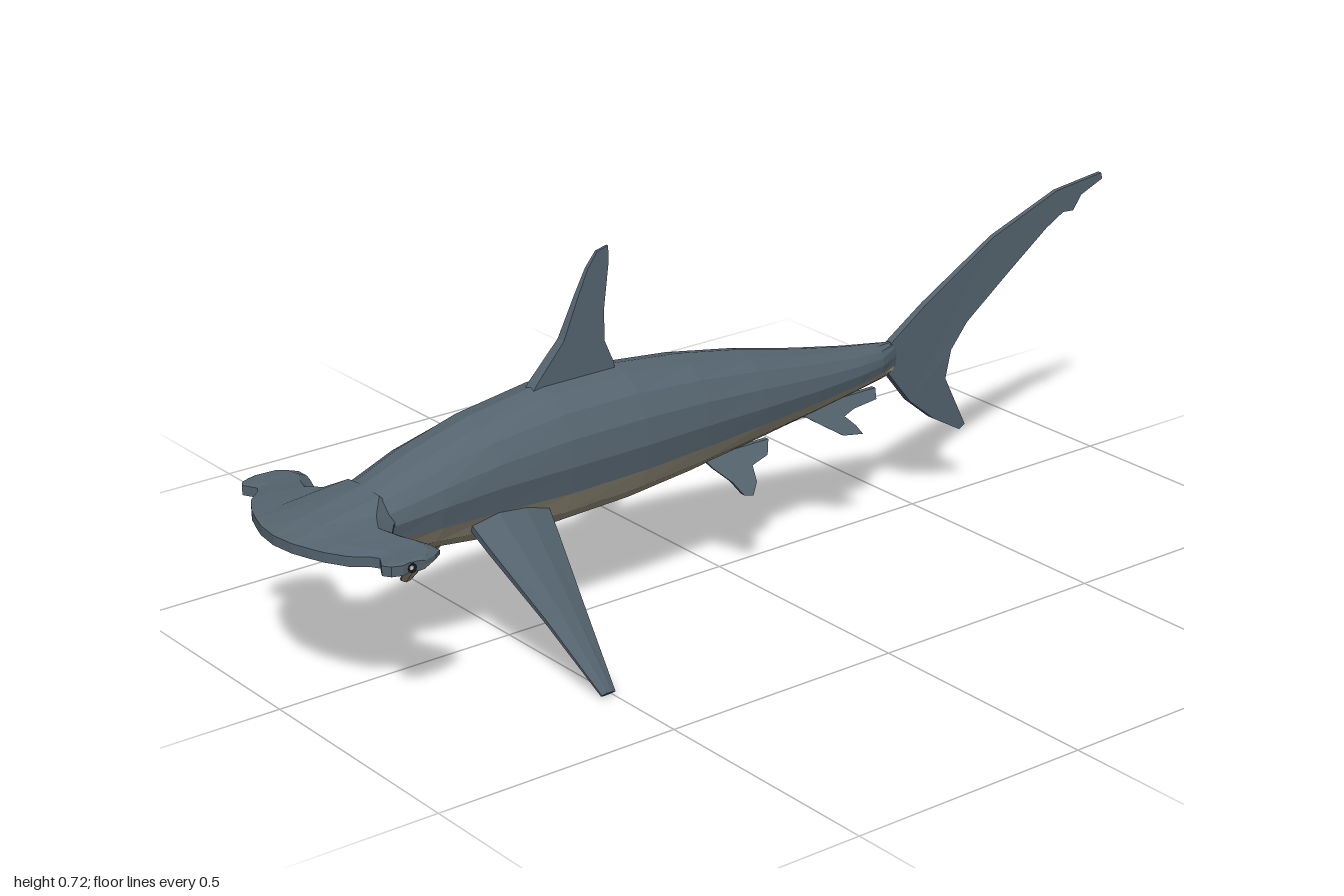
import * as THREE from 'three';

const flat = (name, color) => {
  const m = new THREE.MeshStandardMaterial({ color, flatShading: true });
  m.name = name;
  return m;
};
const slate = flat('slate back', 0x55646f);
const cream = flat('cream belly', 0xa39c87);
const dark = flat('dark', 0x16191c);
const ivory = flat('ivory', 0xdedccb);

// Skin a row of closed rings; isBelly(segment) picks the second material.
function loft(rings, isBelly, capBelly = false) {
  const lists = [[], []];
  const n = rings[0].length;
  const tri = (list, ...pts) => pts.forEach(p => list.push(p));
  for (let i = 0; i < rings.length - 1; i++) {
    for (let j = 0; j < n; j++) {
      const k = (j + 1) % n;
      const a = rings[i][j], b = rings[i][k], c = rings[i + 1][k], d = rings[i + 1][j];
      tri(lists[isBelly(j) ? 1 : 0], a, b, c, a, c, d);
    }
  }
  const first = rings[0], last = rings[rings.length - 1];
  for (let j = 1; j < n - 1; j++) {
    const list = lists[capBelly ? 1 : 0];
    tri(list, first[0], first[j + 1], first[j]);
    tri(list, last[0], last[j], last[j + 1]);
  }
  // Turn every face outwards, whichever way the rings wind.
  const pts = [...lists[0], ...lists[1]].map(p => new THREE.Vector3(...p));
  let volume = 0;
  for (let i = 0; i < pts.length; i += 3) volume += pts[i].dot(pts[i + 1].clone().cross(pts[i + 2]));
  if (volume < 0) for (let i = 0; i < pts.length; i += 3) [pts[i + 1], pts[i + 2]] = [pts[i + 2], pts[i + 1]];
  const g = new THREE.BufferGeometry().setFromPoints(pts);
  g.addGroup(0, lists[0].length, 0);
  g.addGroup(lists[0].length, lists[1].length, 1);
  g.computeVertexNormals();
  return g;
}

// Upright plate from a (z, y) outline; half(y) is its half thickness.
function plate(outline, half, offset = () => 0) {
  const shape = new THREE.Shape(outline.map(p => new THREE.Vector2(...p)));
  const g = new THREE.ExtrudeGeometry(shape, { depth: 2, bevelEnabled: false });
  g.translate(0, 0, -1).rotateY(-Math.PI / 2);
  const pos = g.attributes.position;
  for (let i = 0; i < pos.count; i++) {
    const y = pos.getY(i);
    pos.setX(i, pos.getX(i) * half(y) + offset(y));
  }
  g.computeVertexNormals();
  return g;
}

export function createModel() {
  const model = new THREE.Group();
  model.name = 'hammerheadShark';
  const add = (name, geometry, material) => {
    const m = new THREE.Mesh(geometry, material);
    m.name = name;
    model.add(m);
    return m;
  };

  // Body sections: z, half width, top, widest height, bottom
  const sections = [
    [0.885, 0.05, 0.335, 0.305, 0.27], [0.86, 0.064, 0.365, 0.315, 0.263],
    [0.8, 0.08, 0.39, 0.33, 0.254], [0.7, 0.097, 0.428, 0.345, 0.24],
    [0.58, 0.105, 0.462, 0.355, 0.226], [0.42, 0.108, 0.487, 0.356, 0.215],
    [0.25, 0.106, 0.487, 0.356, 0.221], [0.1, 0.098, 0.471, 0.355, 0.236],
    [-0.05, 0.085, 0.444, 0.35, 0.256], [-0.2, 0.065, 0.41, 0.343, 0.275],
    [-0.32, 0.047, 0.387, 0.34, 0.291], [-0.39, 0.031, 0.377, 0.339, 0.299],
    [-0.45, 0.005, 0.37, 0.338, 0.305],
  ];
  const N = 16;
  const rings = sections.map(([z, w, top, mid, bottom]) =>
    Array.from({ length: N }, (_, j) => {
      const a = (j / N) * Math.PI * 2, s = Math.sin(a);
      return [w * Math.cos(a), mid + s * (s > 0 ? top - mid : mid - bottom), z];
    }));
  add('body', loft(rings, j => j >= 9 && j <= 14, true), [slate, cream]);

  // Hammer head sections: x, front z, back z, top, bottom
  const side = [
    [0.05, 0.99, 0.76, 0.382, 0.31], [0.085, 0.979, 0.8, 0.363, 0.309],
    [0.12, 0.966, 0.827, 0.357, 0.309], [0.16, 0.943, 0.813, 0.352, 0.312],
    [0.185, 0.914, 0.804, 0.35, 0.314], [0.2, 0.905, 0.8, 0.348, 0.316],
    [0.228, 0.92, 0.8, 0.346, 0.318], [0.243, 0.91, 0.82, 0.345, 0.319],
    [0.25, 0.89, 0.845, 0.341, 0.322],
  ];
  const span = [...side.map(([x, ...r]) => [-x, ...r]).reverse(), [0, 0.996, 0.76, 0.388, 0.31], ...side];
  const head = span.map(([x, f, b, top, low]) => {
    const z = t => f + (b - f) * t;
    return [
      [x, 0.341, f], [x, 0.344 + (top - 0.344) * 0.35, z(0.25)], [x, top, z(0.8)], [x, 0.338, b],
      [x, 0.33, b], [x, low, z(0.75)], [x, low + 0.003, z(0.3)], [x, 0.322, f],
    ];
  });
  add('hammerHead', loft(head, j => j >= 4 && j <= 6), [slate, cream]);

  // Mouth with a strip of teeth
  const crescent = (w, h) => {
    const s = new THREE.Shape();
    s.moveTo(-w, h);
    s.quadraticCurveTo(0, h * 0.8, w, h);
    s.quadraticCurveTo(0, -h * 2.6, -w, h);
    return new THREE.ExtrudeGeometry(s, { depth: 0.003, bevelEnabled: false, curveSegments: 8 });
  };
  add('mouth', crescent(0.042, 0.009), dark).position.set(0, 0.285, 0.884);
  add('teeth', crescent(0.034, 0.005), ivory).position.set(0, 0.286, 0.886);

  // Dorsal fin
  add('dorsalFin', plate([
    [0.45, 0.47], [0.435, 0.49], [0.37, 0.56], [0.335, 0.635], [0.31, 0.685], [0.287, 0.714], [0.262, 0.72],
    [0.262, 0.69], [0.277, 0.6], [0.278, 0.54], [0.26, 0.497], [0.255, 0.47],
  ], y => 0.013 - (y - 0.48) * 0.042), slate);

  // Tail fin
  add('tailFin', plate([
    [-0.42, 0.365], [-0.52, 0.432], [-0.7, 0.535], [-0.87, 0.597], [-0.995, 0.611], [-0.998, 0.598],
    [-0.94, 0.575], [-0.918, 0.546], [-0.89, 0.548], [-0.845, 0.524], [-0.74, 0.45], [-0.63, 0.37],
    [-0.588, 0.32], [-0.574, 0.262], [-0.6, 0.21], [-0.63, 0.15], [-0.615, 0.142], [-0.545, 0.182],
    [-0.48, 0.235], [-0.42, 0.31],
  ], y => 0.009 - Math.max(0, y - 0.3) * 0.014), slate);

  const pelvic = [[0.075, 0.265], [0.06, 0.244], [0.03, 0.215], [0.015, 0.19], [-0.005, 0.186],
    [-0.024, 0.205], [-0.028, 0.232], [-0.07, 0.241], [-0.085, 0.265]];
  const rear = [[-0.16, 0.3], [-0.2, 0.272], [-0.257, 0.235], [-0.305, 0.228], [-0.294, 0.246],
    [-0.273, 0.267], [-0.3, 0.275], [-0.36, 0.28], [-0.365, 0.3]];

  for (const s of [1, -1]) {
    const label = s > 0 ? 'left' : 'right';

    // Pectoral fin: span position, front z, back z, half thickness
    const fin = [[-0.1, 0.64, 0.462, 0.03], [0.12, 0.618, 0.468, 0.026], [0.55, 0.57, 0.482, 0.017], [1, 0.527, 0.496, 0.008]]
      .map(([t, f, b, h]) => {
        const at = (u, k) => [s * (0.085 + 0.238 * t + 0.74 * h * k), 0.277 - 0.267 * t + 0.67 * h * k, f + (b - f) * u];
        return [at(0, 0.25), at(0.3, 1), at(0.65, 0.8), at(1, 0.15), at(1, -0.15), at(0.65, -0.8), at(0.3, -1), at(0, -0.25)];
      });
    add(label + 'PectoralFin', loft(fin, j => j >= 4 && j <= 6), [slate, cream]);

    // Small splayed fins: slate outside, cream inside
    const small = (name, outline, x, y0, slope) => {
      const g = plate(outline, () => 0.005, y => s * (x + (y0 - y) * slope));
      const lid = g.groups[0].count / 2, rim = g.groups[1].count;
      g.clearGroups();
      g.addGroup(0, lid, s > 0 ? 0 : 1);
      g.addGroup(lid, lid, s > 0 ? 1 : 0);
      g.addGroup(lid * 2, rim, 0);
      add(label + name, g, [slate, cream]);
    };
    small('PelvicFin', pelvic, 0.05, 0.25, 0.68);
    small('RearFin', rear, 0.034, 0.29, 0.48);

    // Eye on the end of the hammer
    const eye = new THREE.CylinderGeometry(0.009, 0.009, 0.006, 10).rotateZ(Math.PI / 2);
    add(label + 'Eye', eye, dark).position.set(s * 0.2485, 0.3315, 0.872);
    const glint = new THREE.CylinderGeometry(0.004, 0.004, 0.004, 8).rotateZ(Math.PI / 2);
    add(label + 'EyeGlint', glint, ivory).position.set(s * 0.251, 0.3335, 0.875);
  }
  return model;
}
